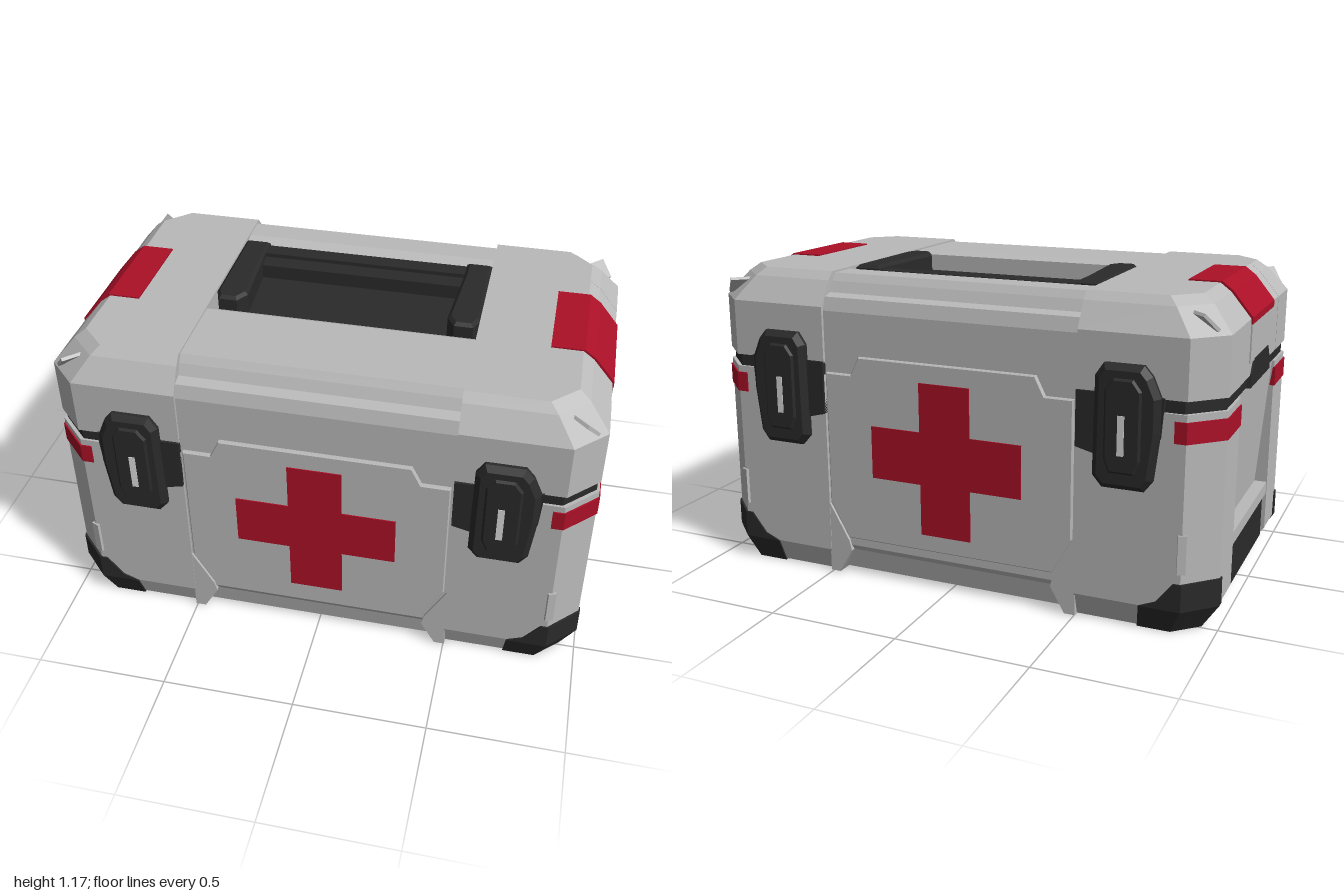
import * as THREE from 'three';

const mat = (name, color) => {
  const m = new THREE.MeshStandardMaterial({ color });
  m.name = name;
  return m;
};

// Solid through horizontal rings: each layer is [y, [[x, z], ...]], flat faceted.
function loft(layers) {
  const flat = (ring) => ring.map(([x, z]) => new THREE.Vector2(x, -z));
  if (THREE.ShapeUtils.isClockWise(flat(layers[0][1]))) {
    layers = layers.map(([y, r]) => [y, [...r].reverse()]);
  }
  const pos = [];
  const put = (layer, i) => pos.push(layer[1][i][0], layer[0], layer[1][i][1]);
  const n = layers[0][1].length;
  for (let k = 0; k + 1 < layers.length; k++) {
    const a = layers[k], b = layers[k + 1];
    for (let i = 0; i < n; i++) {
      const j = (i + 1) % n;
      put(a, i); put(a, j); put(b, j);
      put(a, i); put(b, j); put(b, i);
    }
  }
  const lo = layers[0], hi = layers[layers.length - 1];
  for (const [a, b, c] of THREE.ShapeUtils.triangulateShape(flat(lo[1]), [])) { put(lo, c); put(lo, b); put(lo, a); }
  for (const [a, b, c] of THREE.ShapeUtils.triangulateShape(flat(hi[1]), [])) { put(hi, a); put(hi, b); put(hi, c); }
  const g = new THREE.BufferGeometry();
  g.setAttribute('position', new THREE.Float32BufferAttribute(pos, 3));
  g.computeVertexNormals();
  return g;
}

// Flat outline pushed out along z from z0 by depth, with an optional bevel.
function plate(points, z0, depth, bevel = 0) {
  const shape = new THREE.Shape(points.map(([x, y]) => new THREE.Vector2(x, y)));
  return new THREE.ExtrudeGeometry(shape, {
    depth, bevelEnabled: bevel > 0, bevelThickness: bevel, bevelSize: bevel, bevelOffset: -bevel, bevelSegments: 1,
  }).translate(0, 0, z0);
}

// Box given by its limits.
const box = (x0, x1, y0, y1, z0, z1) =>
  new THREE.BoxGeometry(x1 - x0, y1 - y0, z1 - z0).translate((x0 + x1) / 2, (y0 + y1) / 2, (z0 + z1) / 2);

// Half plan of the case from x = 0.5 outward, with cut corners and an inset side.
const endRing = (hx, hz, c, inset = hx - 0.001) => [
  [0.5, hz], [hx - c, hz], [hx, hz - c], [hx, 0.3], [inset, 0.3],
  [inset, -0.3], [hx, -0.3], [hx, c - hz], [hx - c, -hz], [0.5, -hz],
];

export function createModel() {
  const grey = mat('shellGrey', 0xbababa);
  const dark = mat('rubberBlack', 0x2a2a2b);
  const red = mat('medicalRed', 0xab1027);
  const pale = mat('slotPale', 0xdcdcdc);

  const model = new THREE.Group();
  model.name = 'medicalCase';
  const add = (parent, name, geometry, material) => {
    const mesh = new THREE.Mesh(geometry, material);
    mesh.name = name;
    parent.add(mesh);
    return mesh;
  };

  // Middle of the case: a front-to-back profile with the handle well cut in the top
  const half = [[0.56, 0.02], [0.575, 0.1], [0.585, 0.12], [0.585, 1.03], [0.57, 1.08], [0.53, 1.09], [0.51, 1.13], [0.49, 1.158]];
  const profile = [
    ...half,
    [0.19, 1.158], [0.165, 1.145], [0.165, 1.07], [-0.34, 1.07], [-0.34, 1.14], [-0.39, 1.158],
    ...half.map(([z, y]) => [-z, y]).reverse(),
  ].map(([z, y]) => [-z, y]);
  add(model, 'middleShell', plate(profile, -0.502, 1.004).rotateY(Math.PI / 2), grey);

  // Folding handle lying in its well
  const handle = new THREE.Group();
  handle.name = 'handle';
  model.add(handle);
  add(handle, 'handleWell', box(-0.5, 0.5, 1.06, 1.08, -0.34, 0.165), dark);
  add(handle, 'handleBar', box(-0.42, 0.42, 1.08, 1.135, -0.27, -0.2), dark);
  add(handle, 'handleBack', box(-0.42, 0.42, 1.08, 1.15, -0.335, -0.27), dark);
  for (const s of [-1, 1]) {
    const arm = [[0.5, 0.34], [0.5, -0.06], [0.48, -0.11], [0.41, -0.11], [0.38, -0.06], [0.4, 0.25], [0.4, 0.34]];
    add(handle, 'handleArm', plate(arm.map(([x, y]) => [s * x, y]), 1.08, 0.075, 0.012).rotateX(-Math.PI / 2)
      , dark);
  }

  // Two identical ends, turned half a circle apart
  for (const turn of [0, Math.PI]) {
    const end = new THREE.Group();
    end.name = turn ? 'rightEnd' : 'leftEnd';
    end.rotation.y = turn;
    model.add(end);

    add(end, 'lowerShell', loft([
      [0.005, endRing(0.93, 0.57, 0.09, 0.915)],
      [0.09, endRing(0.995, 0.597, 0.11, 0.94)],
      [0.29, endRing(0.995, 0.597, 0.11, 0.945)],
      [0.79, endRing(0.995, 0.597, 0.11, 0.985)],
    ]), grey);
    add(end, 'seam', loft([[0.78, endRing(0.985, 0.588, 0.11)], [0.85, endRing(0.985, 0.588, 0.11)]]), dark);
    add(end, 'lidShell', loft([
      [0.835, endRing(0.995, 0.597, 0.11)],
      [1.045, endRing(0.995, 0.597, 0.11)],
      [1.135, endRing(0.92, 0.54, 0.1)],
      [1.165, endRing(0.88, 0.51, 0.09)],
    ]), grey);

    // Side details
    add(end, 'sideSill', box(0.9, 0.993, 0.24, 0.288, -0.299, 0.299), grey);
    add(end, 'sideGrip', box(0.88, 0.985, 0.07, 0.24, -0.27, 0.27), dark);
    add(end, 'sideLip', box(0.85, 0.95, 0.02, 0.07, -0.29, 0.29), grey);
    const hinge = [[-0.17, 0.79], [0.17, 0.79], [0.16, 0.84], [0.12, 0.89], [-0.12, 0.89], [-0.16, 0.84]];
    add(end, 'sideHinge', plate(hinge, 0.95, 0.05).rotateY(Math.PI / 2), dark);
    add(end, 'lidSidePanel', box(0.95, 0.999, 0.885, 1.025, -0.19, 0.19), grey);
    const band = [[0.765, 1.15], [0.765, 1.17], [0.885, 1.17], [0.926, 1.14], [1, 1.05], [1, 1.025], [0.97, 1.025]];
    add(end, 'lidBand', plate(band, -0.19, 0.38), red);

    // Corner parts, front and back
    for (const s of [1, -1]) {
      const flip = (ring) => ring.map(([x, z]) => [x, s * z]);
      add(end, 'cornerFoot', loft([
        [0, flip([[0.73, 0.575], [0.85, 0.575], [0.94, 0.49], [0.94, 0.46], [0.73, 0.46]])],
        [0.09, flip([[0.74, 0.603], [0.89, 0.603], [1, 0.493], [1, 0.465], [0.74, 0.46]])],
        [0.115, flip([[0.8, 0.603], [0.89, 0.603], [1, 0.493], [1, 0.465], [0.8, 0.46]])],
        [0.192, flip([[0.86, 0.603], [0.89, 0.603], [1, 0.493], [1, 0.47], [0.86, 0.46]])],
      ]), dark);
      const stripe = flip([[0.845, 0.602], [0.888, 0.602], [1, 0.49], [1, 0.3], [0.98, 0.3], [0.98, 0.48], [0.88, 0.58], [0.845, 0.58]]);
      add(end, 'cornerStripe', loft([[0.69, stripe], [0.765, stripe]]), red);
      const rib = add(end, 'cornerRib', new THREE.BoxGeometry(0.03, 0.14, 0.012), grey);
      rib.position.set(0.885, 0.3, s * 0.596);
      rib.rotation.y = s * 0.4;
      const cap = add(end, 'lidCornerInset', new THREE.BoxGeometry(0.08, 0.012, 0.08), grey);
      cap.position.set(0.912, 1.09, s * 0.515);
      cap.rotation.set(0, s * Math.PI / 4, 0);
      cap.rotateZ(-0.75);
    }
  }

  // Front and back faces, turned half a circle apart
  for (const turn of [0, Math.PI]) {
    const face = new THREE.Group();
    face.name = turn ? 'backFace' : 'frontFace';
    face.rotation.y = turn;
    model.add(face);

    const panel = [
      [-0.49, 0.29], [-0.415, 0.155], [0.415, 0.155], [0.49, 0.29], [0.49, 0.8],
      [0.385, 0.8], [0.35, 0.87], [-0.35, 0.87], [-0.385, 0.8], [-0.49, 0.8],
    ];
    add(face, 'facePanel', plate(panel, 0.57, 0.027, 0.004), grey);
    const a = 0.1, b = 0.3, cy = 0.515;
    const cross = [
      [-a, -0.295], [a, -0.295], [a, -a], [b, -a], [b, a], [a, a],
      [a, 0.285], [-a, 0.285], [-a, a], [-b, a], [-b, -a], [-a, -a],
    ].map(([x, y]) => [x, y + cy]);
    add(face, 'cross', plate(cross, 0.6, 0.005), red);

    for (const s of [-1, 1]) {
      const side = (pts) => pts.map(([x, y]) => [s * x, y]);
      // Lower corner guard reaching under the panel
      add(face, 'cornerGuard', plate(side([[0.505, 0.29], [0.42, 0.14], [0.41, 0.1], [0.465, 0.005], [0.505, 0.005]]), 0.53, 0.065), grey);

      // Latch
      const latch = new THREE.Group();
      latch.name = 'latch';
      face.add(latch);
      add(latch, 'latchBase', plate(side([[0.5, 0.64], [0.58, 0.62], [0.8, 0.7], [0.81, 0.84], [0.5, 0.84]]), 0.58, 0.026), dark);
      add(latch, 'latchBody', plate(side([
        [0.6, 0.51], [0.75, 0.51], [0.78, 0.55], [0.8, 0.72], [0.8, 0.84],
        [0.77, 0.91], [0.74, 0.945], [0.6, 0.945], [0.57, 0.9], [0.565, 0.55],
      ]), 0.59, 0.02, 0.02), dark);
      add(latch, 'latchLever', plate(side([
        [0.63, 0.57], [0.72, 0.57], [0.74, 0.62], [0.74, 0.86], [0.71, 0.9], [0.64, 0.9], [0.61, 0.86], [0.61, 0.62],
      ]), 0.62, 0.01, 0.008), dark);
      add(latch, 'latchSlot', plate(side([[0.66, 0.635], [0.684, 0.635], [0.684, 0.775], [0.66, 0.775]]), 0.636, 0.004), pale);
    }
  }
  return model;
}
